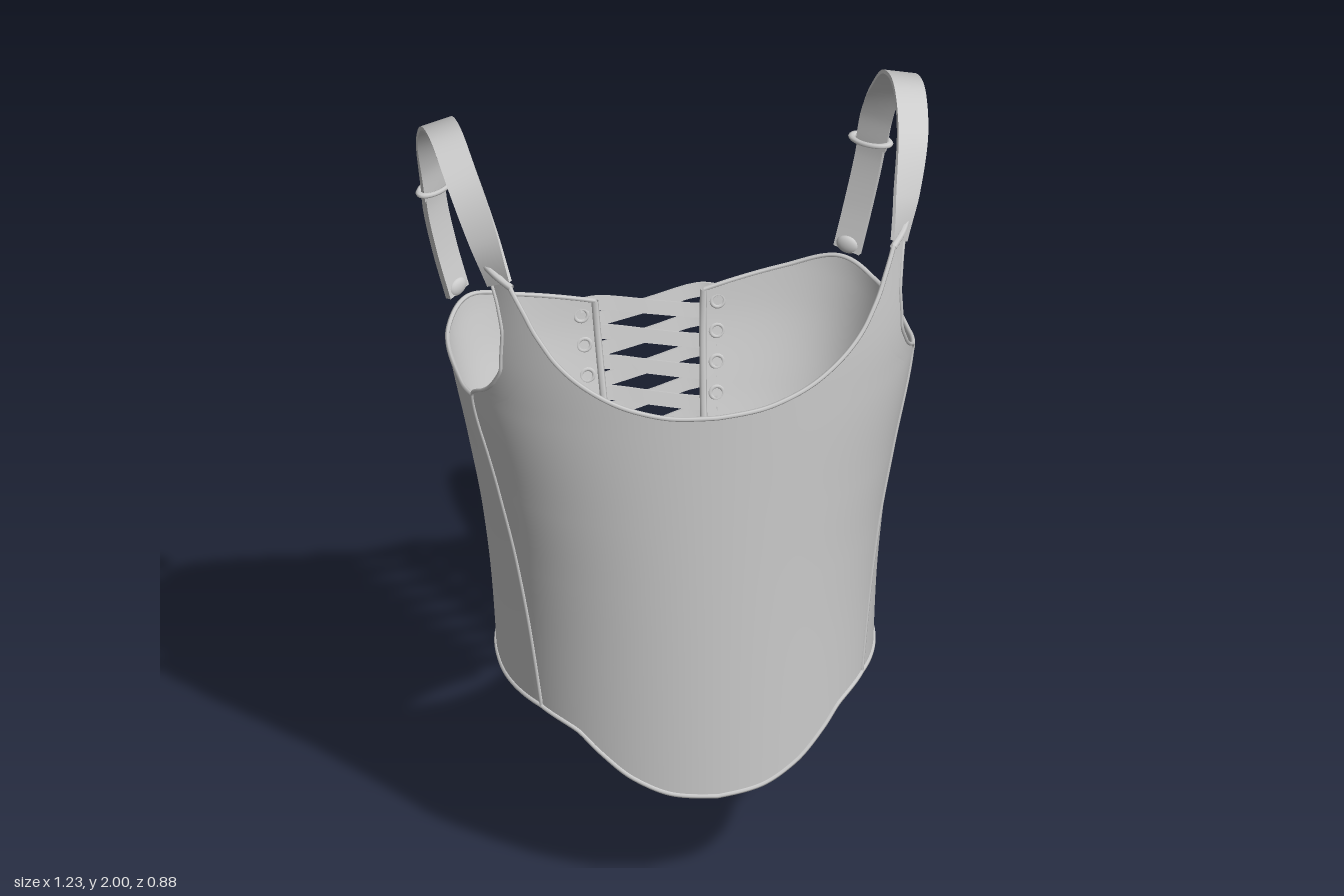
import * as THREE from 'three';

const V = (x, y, z) => new THREE.Vector3(x, y, z);
const RAD = Math.PI / 180;
const mat = new THREE.MeshStandardMaterial({ color: 0xcccccc, side: THREE.DoubleSide });

// Smooth monotone interpolation through [x, y] pairs
function spline(pts) {
  const d = pts.slice(1).map((p, i) => (p[1] - pts[i][1]) / (p[0] - pts[i][0]));
  const m = pts.map((p, i) => {
    if (i === 0) return d[0];
    if (i === pts.length - 1) return d[i - 1];
    return d[i - 1] * d[i] <= 0 ? 0 : (2 * d[i - 1] * d[i]) / (d[i - 1] + d[i]);
  });
  return (x) => {
    x = Math.min(Math.max(x, pts[0][0]), pts[pts.length - 1][0]);
    let i = 0;
    while (i < pts.length - 2 && x > pts[i + 1][0]) i++;
    const h = pts[i + 1][0] - pts[i][0], t = (x - pts[i][0]) / h, t2 = t * t, t3 = t2 * t;
    return (2 * t3 - 3 * t2 + 1) * pts[i][1] + (t3 - 2 * t2 + t) * h * m[i]
      + (3 * t2 - 2 * t3) * pts[i + 1][1] + (t3 - t2) * h * m[i + 1];
  };
}

// Surface patch from f(u, v), u and v in 0..1
function grid(nu, nv, f) {
  const pos = [], idx = [];
  for (let j = 0; j <= nv; j++) for (let i = 0; i <= nu; i++) pos.push(...f(i / nu, j / nv).toArray());
  for (let j = 0; j < nv; j++) for (let i = 0; i < nu; i++) {
    const a = j * (nu + 1) + i, b = a + 1, c = a + nu + 1, e = c + 1;
    idx.push(a, b, e, a, e, c);
  }
  const g = new THREE.BufferGeometry();
  g.setAttribute('position', new THREE.Float32BufferAttribute(pos, 3));
  g.setIndex(idx);
  g.computeVertexNormals();
  return g;
}

// Flat band swept along points; dirs steer its width direction
function ribbon(points, dirs, width, thick, n = 32) {
  const path = new THREE.CatmullRomCurve3(points);
  const turn = new THREE.CatmullRomCurve3(dirs.length > 1 ? dirs : [dirs[0], dirs[0].clone()]);
  const corners = [[1, 1], [-1, 1], [-1, -1], [1, -1]];
  return grid(7, n, (u, v) => {
    const k = Math.round(u * 7), [a, b] = corners[Math.floor((k + 1) / 2) % 4];
    const t = path.getTangent(v), s = turn.getPoint(v);
    s.addScaledVector(t, -s.dot(t)).normalize();
    const nrm = V(0, 0, 0).crossVectors(t, s);
    return path.getPoint(v).addScaledVector(s, a * width / 2).addScaledVector(nrm, b * thick / 2);
  });
}

// Body form: half width, back depth and back squareness by height
const halfWidth = spline([[0.32, 0.455], [0.52, 0.46], [0.7, 0.467], [0.9, 0.484], [1.1, 0.515], [1.36, 0.56], [1.5, 0.57], [1.76, 0.548]]);
const backDepth = spline([[0.5, 0.3], [0.62, 0.315], [0.8, 0.345], [1, 0.4], [1.2, 0.445], [1.36, 0.46]]);
const squareness = spline([[0.52, 2.6], [1.3, 4]]);
function body(deg, y, off = 0) {
  const s = Math.sin(deg * RAD), c = Math.cos(deg * RAD);
  const n = c > 0 ? 2 : squareness(y);
  const r = Math.pow(Math.abs(s) ** n + Math.abs(c) ** n, -1 / n);
  return V((halfWidth(y) + off) * s * r, y, 0.05 + ((c > 0 ? 0.39 : backDepth(y)) + off) * c * r);
}

// Side seam that turns into the armhole, then the panel edges
const seam = spline([[0.52, 60], [0.9, 68], [1.2, 74], [1.36, 78], [1.415, 68], [1.45, 64], [1.5, 61], [1.58, 61], [1.66, 64], [1.76, 72]]);
const neckline = spline([[0, 1.415], [0.15, 1.42], [0.31, 1.44], [0.51, 1.485], [0.68, 1.55], [0.79, 1.62], [0.845, 1.69], [0.88, 1.742], [1, 1.757]]);
const frontHem = spline([[0, 0.325], [0.21, 0.335], [0.43, 0.375], [0.625, 0.44], [0.76, 0.487], [1, 0.515]]);
const backTop = spline([[0, 1.36], [0.3, 1.335], [0.52, 1.325], [0.65, 1.343], [0.8, 1.3], [1, 1.25]]);
const backHem = spline([[0, 0.515], [0.4, 0.535], [0.7, 0.565], [1, 0.625]]);
const BACK = 166;
const frontPoint = (t, v) => {
  const a = Math.abs(t), y = frontHem(a) + (neckline(a) - frontHem(a)) * v;
  return body(t * seam(y), y);
};
const sidePoint = (t, v) => {
  const y = backHem(t) + (backTop(t) - backHem(t)) * v, s = seam(Math.min(y, 1.36));
  return body(s + (BACK - s) * t, y);
};

export function createModel() {
  const root = new THREE.Group();
  const add = (name, geo, parent = root) => {
    const m = new THREE.Mesh(geo, mat);
    m.name = name;
    parent.add(m);
    return m;
  };
  const group = (name) => {
    const g = new THREE.Group();
    g.name = name;
    root.add(g);
    return g;
  };
  // Thin piping along a line f(t)
  const piping = (name, f, parent, r = 0.006, n = 70) => {
    const pts = Array.from({ length: n + 1 }, (_, i) => f(i / n));
    add(name, new THREE.TubeGeometry(new THREE.CatmullRomCurve3(pts), n * 2, r, 6), parent);
  };

  // Front panel with shoulder tabs
  const front = group('frontPanel');
  add('frontCloth', grid(120, 90, (u, v) => frontPoint(u * 2 - 1, v)), front);
  piping('necklineBinding', (t) => frontPoint(t * 2 - 1, 1), front, 0.006, 140);
  piping('frontHemBinding', (t) => frontPoint(t * 2 - 1, 0), front);

  for (const side of [1, -1]) {
    const label = side > 0 ? 'left' : 'right';
    const flip = (p) => p.setX(p.x * side);

    // Side and back panel
    const panel = group(label + 'SidePanel');
    add('sideCloth', grid(70, 40, (u, v) => flip(sidePoint(u, v))), panel);
    piping('topBinding', (t) => flip(sidePoint(t, 1)), panel);
    piping('hemBinding', (t) => flip(sidePoint(t, 0)), panel);
    piping('backEdge', (t) => flip(sidePoint(1, t)), panel, 0.009);
    piping('seamAndArmhole', (t) => flip(frontPoint(1, t)), panel, 0.005);

    // Shoulder strap
    const strap = group(label + 'Strap');
    const pts = [[0.497, 1.725, 0.215], [0.525, 1.82, 0.165], [0.56, 1.94, 0.07], [0.575, 1.993, -0.05], [0.575, 1.96, -0.17],
      [0.567, 1.86, -0.27], [0.553, 1.74, -0.335], [0.543, 1.64, -0.357]].map((p) => flip(V(...p)));
    const dirs = [[0.6, 0, -0.8], [0.8, 0, -0.6], [1, -0.2, -0.25], [1, -0.25, 0], [1, -0.2, 0.1], [0.95, 0, 0.25], [0.85, 0, 0.5], [0.8, 0, 0.6]]
      .map((p) => flip(V(...p)));
    add('strapBand', ribbon(pts, dirs, 0.08, 0.01, 60), strap);
    const low = [[0.548, 1.68, -0.355], [0.54, 1.6, -0.367], [0.515, 1.47, -0.37], [0.485, 1.345, -0.362]].map((p) => flip(V(...p)));
    add('lowerStrapBand', ribbon(low, [flip(V(0.8, 0, 0.6))], 0.07, 0.016, 24), strap);

    // Strap slider ring, tab end and rear end
    const ring = add('strapSlider', new THREE.TorusGeometry(0.034, 0.007, 8, 28), strap);
    ring.position.copy(flip(V(0.543, 1.655, -0.36)));
    ring.rotation.set(Math.PI / 2, 0, side * 0.64);
    ring.scale.set(1.45, 0.75, 1);
    const tabEnd = [body(59, 1.733, 0.004), body(66, 1.748, 0.006), body(73, 1.757, 0.004)].map(flip);
    add('tabEnd', new THREE.TubeGeometry(new THREE.CatmullRomCurve3(tabEnd), 12, 0.009, 8), strap);
    const rear = add('rearTab', new THREE.SphereGeometry(0.03, 16, 12), strap);
    rear.position.copy(flip(V(0.485, 1.36, -0.36)));
    rear.rotation.y = -side * 0.64;
    rear.scale.set(1, 0.8, 0.4);
  }

  // Crossed back lacing with eyelets
  const lacing = group('lacing');
  for (let i = 0; i < 8; i++) {
    const y = 0.65 + i * 0.077;
    for (const dir of [1, -1]) {
      const end = (s) => body(s * 164, y + (s * dir > 0 ? 0.05 : 0), 0.008);
      const a = end(-1), b = end(1), lift = dir > 0 ? 0.012 : 0.002;
      const mid = a.clone().add(b).multiplyScalar(0.5).add(V(0, 0, -lift));
      add('lace', ribbon([a.clone().add(V(-0.015, 0, 0.004)), a.clone().add(V(0.03, 0, -lift)), mid,
        b.clone().add(V(-0.03, 0, -lift)), b.clone().add(V(0.015, 0, 0.004))], [V(0, 1, -0.2)], 0.036, 0.008, 16), lacing);
    }
    for (const s of [-1, 1]) {
      const eyelet = add('eyelet', new THREE.TorusGeometry(0.016, 0.006, 8, 16), lacing);
      eyelet.position.copy(body(s * 162.5, y + 0.025, 0.004));
      eyelet.rotation.x = -0.2;
    }
  }

  // Bow: knot, hanging loops and tails
  const bow = group('bow');
  const knot = add('knot', new THREE.SphereGeometry(0.035, 16, 12), bow);
  knot.position.set(0.005, 0.635, -0.288);
  knot.scale.set(1.1, 0.9, 0.8);
  const loop = (x, bottom, depth, w) => add('bowLoop', ribbon([V(0, 0.63, -0.28), V(x * 0.6, 0.5, -0.29), V(x, bottom + 0.08, -0.345),
    V(x * 1.05, bottom, -0.375), V(x, bottom + 0.04, -0.375 - depth), V(x * 0.7, 0.5, -0.33 - depth), V(0, 0.64, -0.295)],
  [V(1, 0, 0.1), V(1, 0, 0.5), V(1, 0, 0.3), V(1, 0, 0.6)], w, 0.008, 48), bow);
  loop(0.1, 0.27, 0.03, 0.055);
  loop(0.07, 0.3, 0.015, 0.045);
  loop(-0.04, 0.27, 0.03, 0.055);
  loop(-0.075, 0.33, 0.015, 0.045);
  add('longTail', ribbon([V(0, 0.63, -0.295), V(-0.06, 0.42, -0.33), V(-0.09, 0.2, -0.37), V(-0.098, 0.006, -0.425)],
    [V(1, 0, 0.3), V(1, 0, -0.4)], 0.05, 0.008), bow);
  add('shortTail', ribbon([V(0, 0.63, -0.295), V(0.01, 0.45, -0.32), V(0.012, 0.25, -0.365), V(0.02, 0.11, -0.395)],
    [V(0.6, 0, 1), V(0.1, 0, 1)], 0.055, 0.008), bow);
  return root;
}
